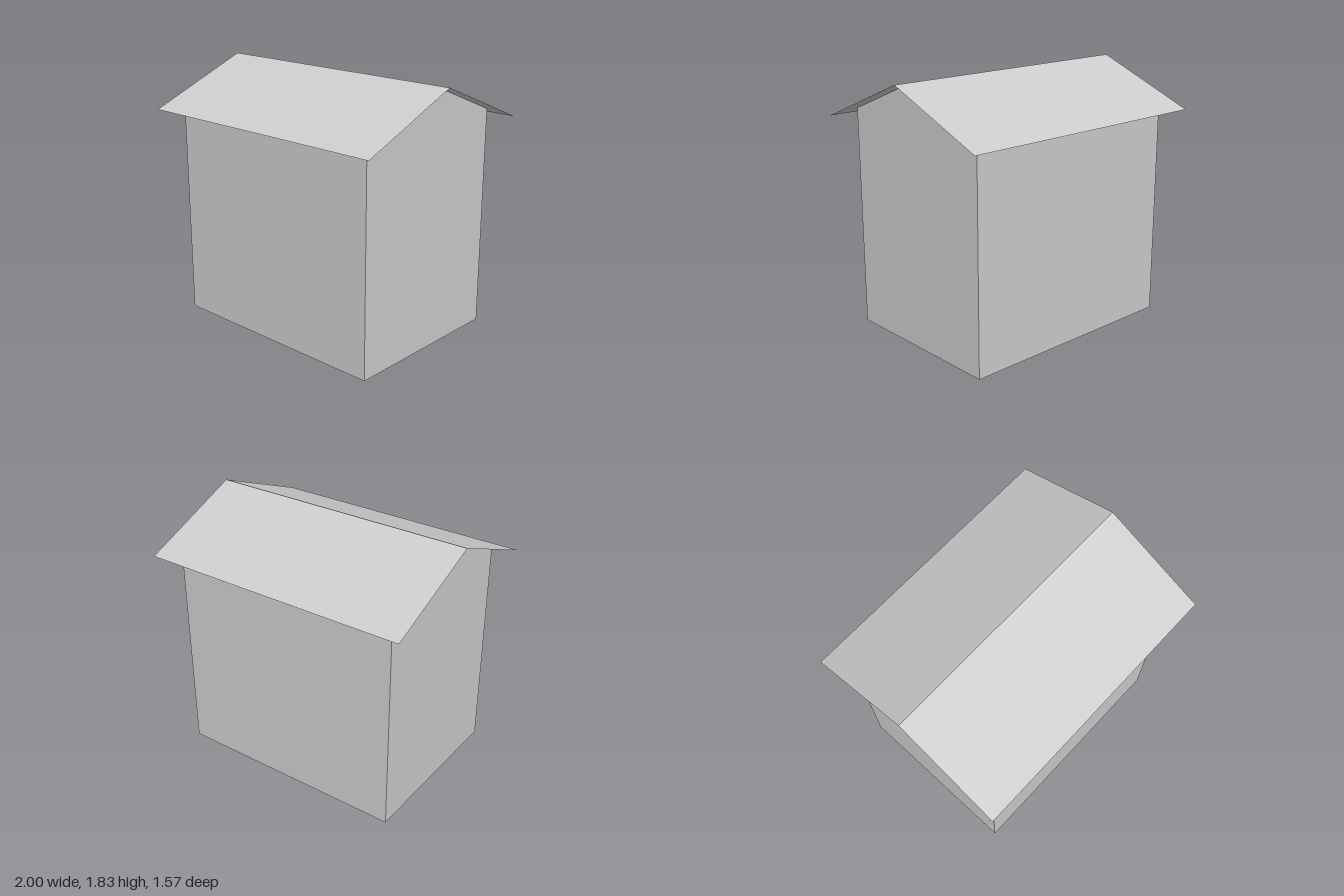
import * as THREE from 'three';

const TILT = 0.0215;                 // slight turn of the whole shed
const WALL_X = 0.85, WALL_Z = 0.627; // half sizes of the walls
const ROOF_X = 0.983, ROOF_Z = 0.764; // half sizes of the roof
const RIDGE = 1.83, EAVE = 1.52;
const WALL_TOP = RIDGE - (RIDGE - EAVE) * WALL_Z / ROOF_Z;

export function createModel() {
  const grey = new THREE.MeshStandardMaterial({ color: 0xcccccc, side: THREE.DoubleSide });
  grey.name = 'plain grey';
  const model = new THREE.Group();
  model.name = 'shed';

  const add = (name, geometry) => {
    const mesh = new THREE.Mesh(geometry, grey);
    mesh.name = name;
    model.add(mesh);
    return mesh;
  };

  // Gable end outline, drawn facing +z and turned to each end
  const gable = new THREE.Shape([
    [-WALL_Z, 0], [WALL_Z, 0], [WALL_Z, WALL_TOP], [0, RIDGE], [-WALL_Z, WALL_TOP],
  ].map(([x, y]) => new THREE.Vector2(x, y)));

  // Single-sheet walls with an open bottom, and two thin roof slopes
  const slopeLength = Math.hypot(ROOF_Z, RIDGE - EAVE);
  const pitch = Math.atan2(RIDGE - EAVE, ROOF_Z);
  for (const s of [1, -1]) {
    const end = add(s > 0 ? 'leftGableWall' : 'rightGableWall', new THREE.ShapeGeometry(gable));
    end.rotation.y = s * Math.PI / 2;
    end.position.x = s * WALL_X;

    const wall = add(s > 0 ? 'frontWall' : 'backWall', new THREE.PlaneGeometry(2 * WALL_X, WALL_TOP));
    wall.rotation.y = s > 0 ? 0 : Math.PI;
    wall.position.set(0, WALL_TOP / 2, s * WALL_Z);

    const slope = new THREE.PlaneGeometry(2 * ROOF_X, slopeLength);
    slope.rotateX(-Math.PI / 2 + s * pitch);
    slope.translate(0, (RIDGE + EAVE) / 2, s * ROOF_Z / 2);
    add(s > 0 ? 'frontRoofSlope' : 'backRoofSlope', slope);
  }

  model.rotation.y = TILT;
  return model;
}
